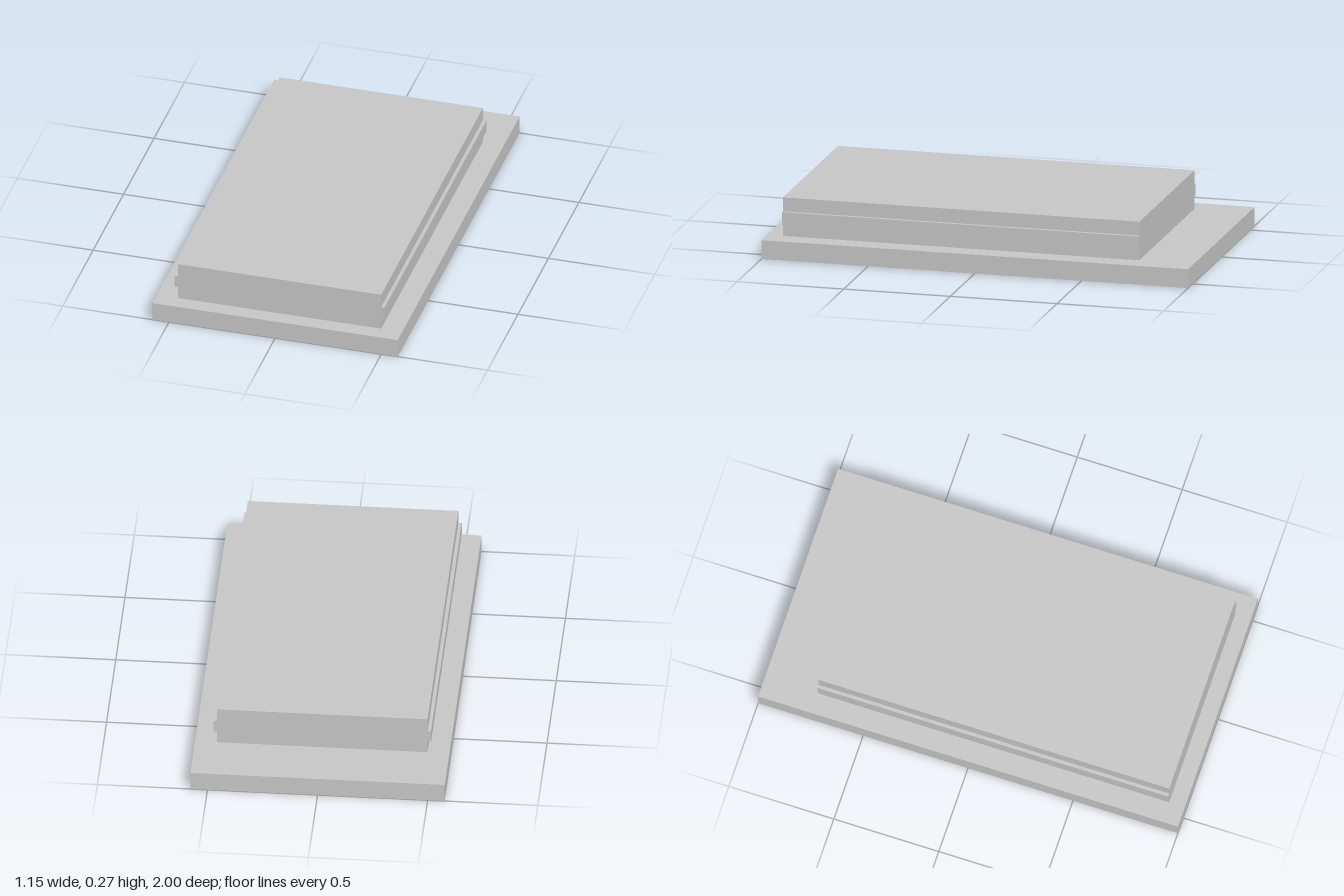
import * as THREE from 'three';

export function createModel() {
  const group = new THREE.Group();
  const grey = new THREE.MeshStandardMaterial({ color: 0xc6c6c6 });
  grey.name = 'light grey';

  // Flat base slab
  const base = new THREE.Mesh(new THREE.BoxGeometry(1.155, 0.088, 2), grey);
  base.name = 'baseSlab';
  base.position.y = 0.044;
  group.add(base);

  // Upper block: cross-section with a guide rib along each long side
  const bottom = 0.088, ribLow = 0.146, ribHigh = 0.203, top = 0.268;
  const back = -0.745, front = 0.926;
  const profile = new THREE.Shape([
    [-0.478, bottom], [0.478, bottom],
    [0.478, ribLow], [0.494, ribLow], [0.494, ribHigh], [0.478, ribHigh],
    [0.478, top], [-0.478, top],
    [-0.478, ribHigh], [-0.494, ribHigh], [-0.494, ribLow], [-0.478, ribLow],
  ].map(([x, y]) => new THREE.Vector2(x, y)));
  const block = new THREE.Mesh(
    new THREE.ExtrudeGeometry(profile, { depth: front - back, bevelEnabled: false }), grey);
  block.name = 'ribbedBlock';
  block.position.z = back;
  group.add(block);

  return group;
}
